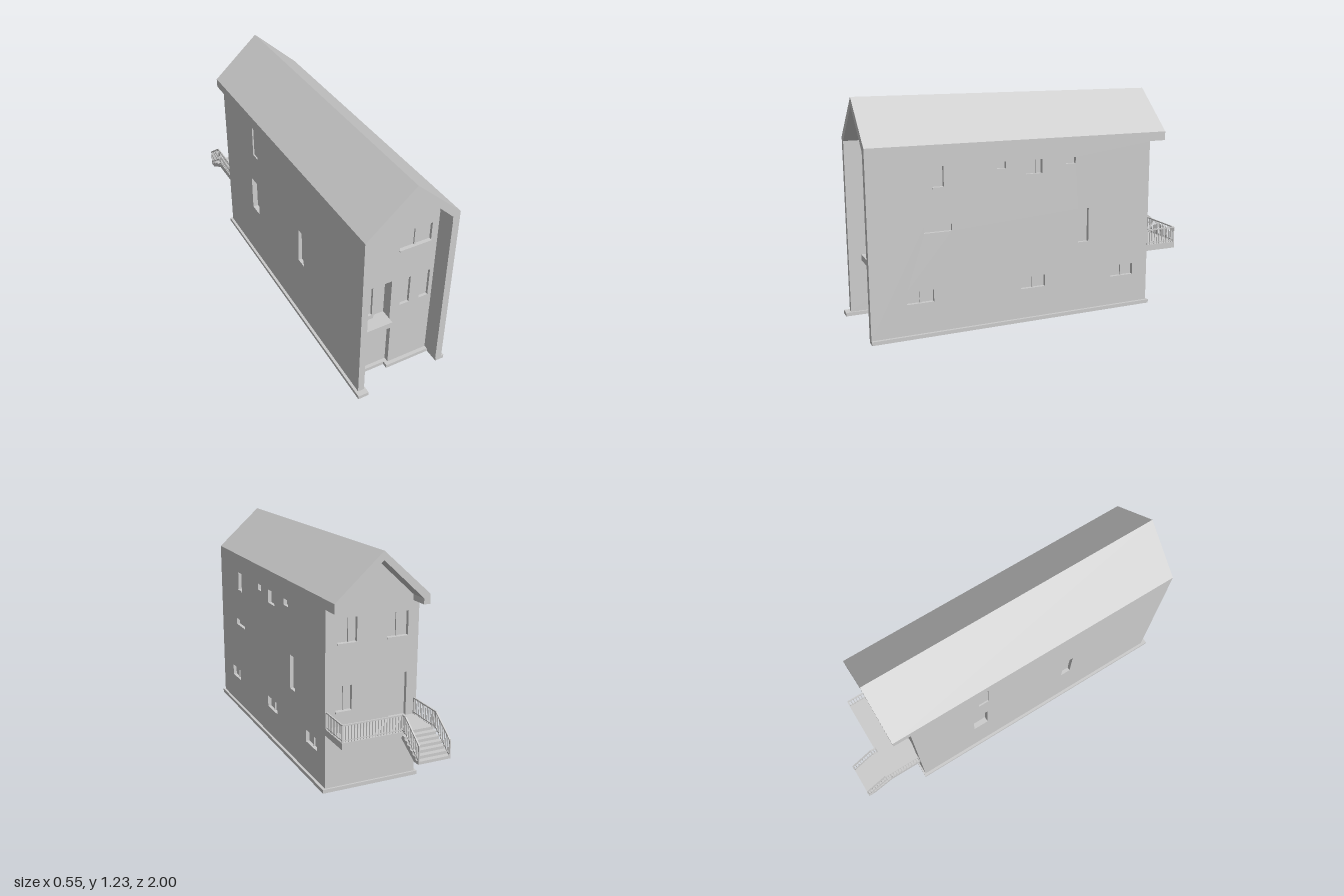
import * as THREE from 'three';

const grey = new THREE.MeshStandardMaterial({ color: 0xcccccc, flatShading: true, side: THREE.DoubleSide });

function add(parent, name, geo, x = 0, y = 0, z = 0) {
  const m = new THREE.Mesh(geo, grey);
  m.name = name;
  m.position.set(x, y, z);
  parent.add(m);
  return m;
}

// Box given by its limits
function block(parent, name, x0, x1, y0, y1, z0, z1) {
  return add(parent, name, new THREE.BoxGeometry(x1 - x0, y1 - y0, z1 - z0),
    (x0 + x1) / 2, (y0 + y1) / 2, (z0 + z1) / 2);
}

const toPoints = (list) => list.map(([x, y]) => new THREE.Vector2(x, y));
const rect = (u0, u1, v0, v1) => [[u0, v0], [u1, v0], [u1, v1], [u0, v1]];

function extrude(outline, holes, depth) {
  const shape = new THREE.Shape(toPoints(outline));
  holes.forEach((h) => shape.holes.push(new THREE.Path(toPoints(h))));
  return new THREE.ExtrudeGeometry(shape, { depth, bevelEnabled: false });
}

// Wall with its outer face on local z = 0; each opening gets a pane set back inside it
function wall(parent, name, outline, openings, thickness) {
  const g = new THREE.Group();
  g.name = name;
  const holes = openings.map((o) => rect(o.u0, o.u1, o.v0, o.v1));
  add(g, name + 'Panel', extrude(outline, holes, thickness), 0, 0, -thickness);
  openings.forEach(({ u0, u1, v0, v1, depth = 0.02, mullion, sill }) => {
    block(g, 'windowPane', u0, u1, v0, v1, -depth - 0.006, -depth);
    if (mullion !== undefined) {
      block(g, 'mullion', mullion - 0.004, mullion + 0.004, v0, v1, -depth, -depth + 0.008);
    }
    if (sill) block(g, 'windowSill', u0, u1, v0 - 0.004, v0 + 0.004, -depth, 0.006);
  });
  parent.add(g);
  return g;
}

const win = (u0, u1, v0, v1, extra = {}) => ({ u0, u1, v0, v1, ...extra });

// Square bar between two points
function bar(parent, name, a, b, w) {
  const m = add(parent, name, new THREE.BoxGeometry(w, w, a.distanceTo(b)));
  m.position.copy(a).add(b).multiplyScalar(0.5);
  m.lookAt(b);
}

// Railing between two floor points: top rail, bottom rail and balusters
function railing(parent, name, a, b, count, height = 0.09) {
  const g = new THREE.Group();
  g.name = name;
  const p = new THREE.Vector3(...a), q = new THREE.Vector3(...b);
  const up = (v, h) => v.clone().setY(v.y + h);
  bar(g, 'topRail', up(p, height - 0.003), up(q, height - 0.003), 0.007);
  bar(g, 'bottomRail', up(p, 0.01), up(q, 0.01), 0.005);
  for (let i = 0; i <= count; i++) {
    const c = p.clone().lerp(q, i / count);
    const w = i === 0 || i === count ? 0.007 : 0.004;
    block(g, 'baluster', c.x - w / 2, c.x + w / 2, c.y, c.y + height - 0.003, c.z - w / 2, c.z + w / 2);
  }
  parent.add(g);
}

export function createModel() {
  const house = new THREE.Group();
  house.name = 'house';

  // Hollow footing ring, stepped at the front, with the floor above it
  const footing = extrude(
    [[-0.275, -0.66], [0.27, -0.66], [0.27, 0.97], [0.22, 0.97], [0.22, 0.89], [-0.04, 0.89],
      [-0.04, 0.86], [-0.215, 0.86], [-0.215, 1.0], [-0.275, 1.0]],
    [[[-0.225, -0.61], [0.22, -0.61], [0.22, 0.84], [-0.08, 0.84], [-0.08, 0.81], [-0.225, 0.81]]], 0.02);
  footing.rotateX(Math.PI / 2);
  add(house, 'footing', footing, 0, 0.02, 0);
  block(house, 'floor', -0.25, 0.245, 0.018, 0.03, -0.645, 0.835);

  // Folded roof, running past the rear wall
  add(house, 'roof', extrude(
    [[-0.26, 0.95], [-0.225, 0.95], [-0.225, 0.98], [0, 1.185], [0.215, 0.98], [0.215, 0.95],
      [0.255, 0.95], [0.255, 1.0], [0, 1.23], [-0.26, 1.0]], [], 1.72), 0, 0, -0.75);

  // Right-hand wall on +x: u runs along -z
  const east = wall(house, 'leftWall', rect(-0.97, 0.65, 0.02, 0.95), [
    win(-0.63, -0.57, 0.78, 0.89, { sill: true }),
    win(-0.28, -0.23, 0.855, 0.89),
    win(-0.115, -0.02, 0.815, 0.89, { mullion: -0.05 }),
    win(0.12, 0.18, 0.855, 0.89),
    win(-0.68, -0.53, 0.55, 0.588),
    win(0.2, 0.265, 0.41, 0.6),
    ...[-0.78, -0.145, 0.41].map((u) => win(u, u + 0.145, 0.185, 0.25, { mullion: u + 0.075 })),
  ], 0.038);
  east.position.x = 0.255;
  east.rotation.y = Math.PI / 2;

  // Wall on -x: u runs along +z
  const west = wall(house, 'rightWall', rect(-0.65, 0.97, 0.02, 0.95), [
    win(-0.29, -0.2, 0.36, 0.57, { depth: 0.03 }),
    win(0.31, 0.37, 0.4, 0.61),
    win(-0.25, -0.19, 0.755, 0.935, { depth: 0.008 }),
  ], 0.035);
  west.position.x = -0.26;
  west.rotation.y = -Math.PI / 2;

  // Rear wall with door: u runs along -x
  const rear = wall(house, 'rearWall',
    [[-0.22, 0.02], [0.228, 0.02], [0.228, 0.98], [0, 1.19], [-0.22, 0.98]], [
      win(-0.19, -0.085, 0.77, 0.9, { mullion: -0.125, sill: true }),
      win(0.08, 0.2, 0.77, 0.9, { mullion: 0.14, sill: true }),
      win(-0.2, -0.11, 0.42, 0.555, { mullion: -0.15, sill: true }),
      win(0.1, 0.2, 0.347, 0.58),
    ], 0.035);
  rear.position.z = -0.65;
  rear.rotation.y = Math.PI;

  // Recessed upper facade with an entrance alcove
  const front = wall(house, 'frontFacade',
    [[-0.228, 0.31], [0.218, 0.31], [0.218, 0.98], [0, 1.19], [-0.228, 0.98]], [
      win(-0.224, -0.03, 0.345, 0.6, { depth: 0.06 }),
      win(0.025, 0.08, 0.415, 0.585, { depth: 0.015 }),
      win(0.14, 0.195, 0.415, 0.585, { depth: 0.015 }),
      win(0, 0.18, 0.78, 0.89, { depth: 0.015, mullion: 0.09, sill: true }),
    ], 0.07);
  front.position.z = 0.87;
  block(house, 'entranceLedge', -0.225, -0.03, 0.312, 0.345, 0.82, 0.9);

  // Entrance door and its frame
  add(house, 'doorFrame', extrude(rect(-0.185, -0.1, 0.345, 0.585),
    [rect(-0.175, -0.11, 0.37, 0.575)], 0.018), 0, 0, 0.81);
  block(house, 'frontDoor', -0.175, -0.11, 0.37, 0.575, 0.808, 0.814);

  // Ground-floor front: left half set back, right half forward
  block(house, 'setBackPanel', -0.235, -0.02, 0.02, 0.31, 0.8, 0.84);
  block(house, 'forwardPanel', -0.02, 0.22, 0.02, 0.31, 0.8, 0.869);

  // Rear deck
  block(house, 'deck', -0.25, 0.255, 0.31, 0.345, -0.84, -0.65);

  // Stair flight: stepped profile with a sloping underside
  const steps = 6, run = 0.16 / steps, rise = 0.09 / steps;
  const profile = [[0.96, 0.24], [0.84, 0.31], [0.84, 0.345]];
  for (let i = 0; i < steps; i++) {
    profile.push([0.84 + i * run, 0.345 - (i + 1) * rise], [0.84 + (i + 1) * run, 0.345 - (i + 1) * rise]);
  }
  profile.push([1.0, 0.24]);
  const stairs = extrude(profile, [], 0.18);
  stairs.rotateY(Math.PI / 2);
  add(house, 'stairs', stairs, -0.25, 0, 0);

  // Railings around the deck and down both sides of the stairs
  railing(house, 'deckSideRailing', [0.25, 0.345, -0.655], [0.25, 0.345, -0.835], 11);
  railing(house, 'deckRearRailing', [0.25, 0.345, -0.835], [-0.07, 0.345, -0.835], 20);
  railing(house, 'deckSideRailing', [-0.246, 0.345, -0.655], [-0.246, 0.345, -0.835], 11);
  [-0.246, -0.074].forEach((x) => {
    railing(house, 'stairLandingRailing', [x, 0.345, -0.835], [x, 0.345, -0.865], 2);
    railing(house, 'stairRailing', [x, 0.345, -0.865], [x, 0.247, -0.996], 8);
  });

  return house;
}
